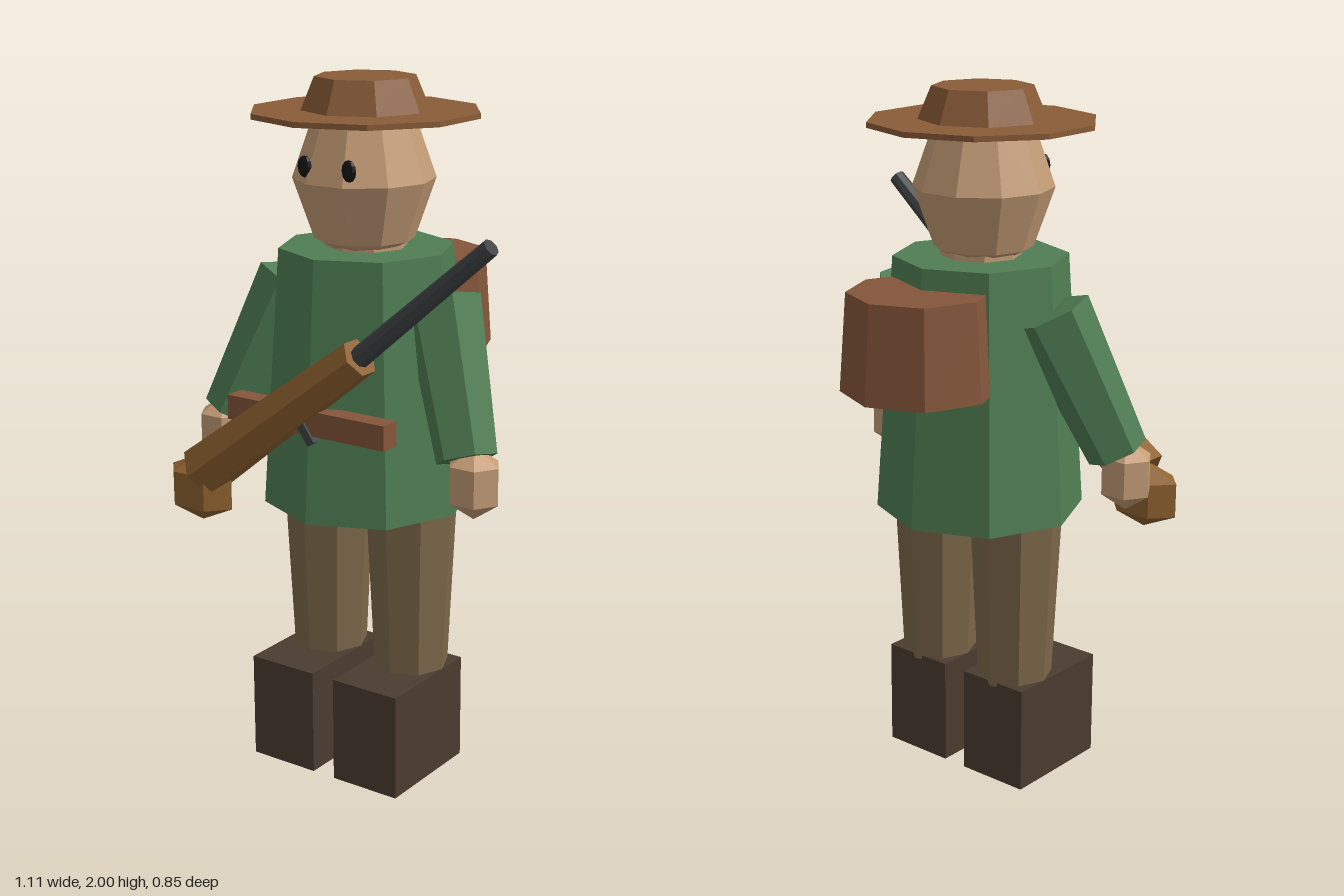
import * as THREE from 'three';

const material = (color) => new THREE.MeshStandardMaterial({ color, flatShading: true });
const skin = material(0xc49c76), cloth = material(0x4f7d53), trouser = material(0x7d684a);
const bootLeather = material(0x4a3c30), hatFelt = material(0x8a5c38), packLeather = material(0x85563a);
const wood = material(0x8f6230), metal = material(0x3f4244), eyeBlack = material(0x151515);

export function createModel() {
  const model = new THREE.Group();
  model.name = 'riflemanFigure';
  const body = new THREE.Group();
  body.name = 'body';
  body.position.set(-0.05, 0, 0.05);
  model.add(body);

  const add = (parent, name, geometry, mat, x, y, z) => {
    const mesh = new THREE.Mesh(geometry, mat);
    mesh.name = name;
    mesh.position.set(x, y, z);
    parent.add(mesh);
    return mesh;
  };
  // Upright tapered prism between two heights
  const prism = (name, rTop, rBottom, y0, y1, sides, mat, x = 0, z = 0) =>
    add(body, name, new THREE.CylinderGeometry(rTop, rBottom, y1 - y0, sides), mat, x, (y0 + y1) / 2, z);
  // Tapered prism from point a to point b
  const limb = (parent, name, a, b, rA, rB, sides, mat) => {
    const from = new THREE.Vector3(...a), to = new THREE.Vector3(...b);
    const dir = to.clone().sub(from);
    const mid = from.clone().add(to).multiplyScalar(0.5);
    const mesh = add(parent, name, new THREE.CylinderGeometry(rB, rA, dir.length(), sides), mat, mid.x, mid.y, mid.z);
    mesh.quaternion.setFromUnitVectors(new THREE.Vector3(0, 1, 0), dir.normalize());
    return mesh;
  };
  // Low-poly ellipsoid
  const blob = (parent, name, rx, ry, rz, w, h, mat, x, y, z) =>
    add(parent, name, new THREE.SphereGeometry(1, w, h).scale(rx, ry, rz), mat, x, y, z);

  // Coat, neck and head
  prism('coat', 0.247, 0.298, 0.8, 1.535, 8, cloth);
  prism('neck', 0.115, 0.115, 1.5, 1.62, 8, skin);
  blob(body, 'head', 0.198, 0.235, 0.198, 10, 4, skin, 0, 1.725, 0.01);

  // Hat
  prism('hatBrim', 0.322, 0.322, 1.895, 1.91, 10, hatFelt, 0, 0.004);
  prism('hatCrown', 0.14, 0.178, 1.91, 2.0, 8, hatFelt, 0, 0.004);

  // Backpack
  prism('backpack', 0.2, 0.22, 1.2, 1.477, 8, packLeather, 0, -0.257);

  // Belt bar across the front
  add(body, 'belt', new THREE.BoxGeometry(0.53, 0.07, 0.06), packLeather, 0, 1.095, 0.27);

  // Paired parts
  for (const [side, s] of [['left', 1], ['right', -1]]) {
    blob(body, side + 'Eye', 0.024, 0.03, 0.012, 8, 6, eyeBlack, s * 0.073, 1.77, 0.183);
    prism(side + 'Leg', 0.134, 0.108, 0.3, 0.85, 8, trouser, s * 0.145, -0.012);
    add(body, side + 'Boot', new THREE.BoxGeometry(0.217, 0.312, 0.341), bootLeather, s * 0.145, 0.156, 0.057);
    limb(body, side + 'Arm', [s * 0.25, 1.41, 0], [s * 0.405, 1.015, 0.11], 0.11, 0.086, 6, cloth);
    blob(body, side + 'Hand', 0.088, 0.105, 0.082, 6, 3, skin, s * 0.432, 0.955, 0.115);
  }

  // Long gun held across the chest
  const gun = new THREE.Group();
  gun.name = 'longGun';
  model.add(gun);
  limb(gun, 'gunStock', [-0.41, 0.89, 0.345], [0.135, 1.305, 0.345], 0.08, 0.057, 6, wood);
  blob(gun, 'gunButt', 0.125, 0.1, 0.08, 6, 3, wood, -0.425, 0.837, 0.342);
  limb(gun, 'gunBarrel', [0.1, 1.275, 0.345], [0.533, 1.645, 0.342], 0.031, 0.024, 8, metal);
  const trigger = add(gun, 'trigger', new THREE.BoxGeometry(0.025, 0.09, 0.025), metal, -0.048, 1.075, 0.345);
  trigger.rotation.z = 0.62;

  return model;
}
